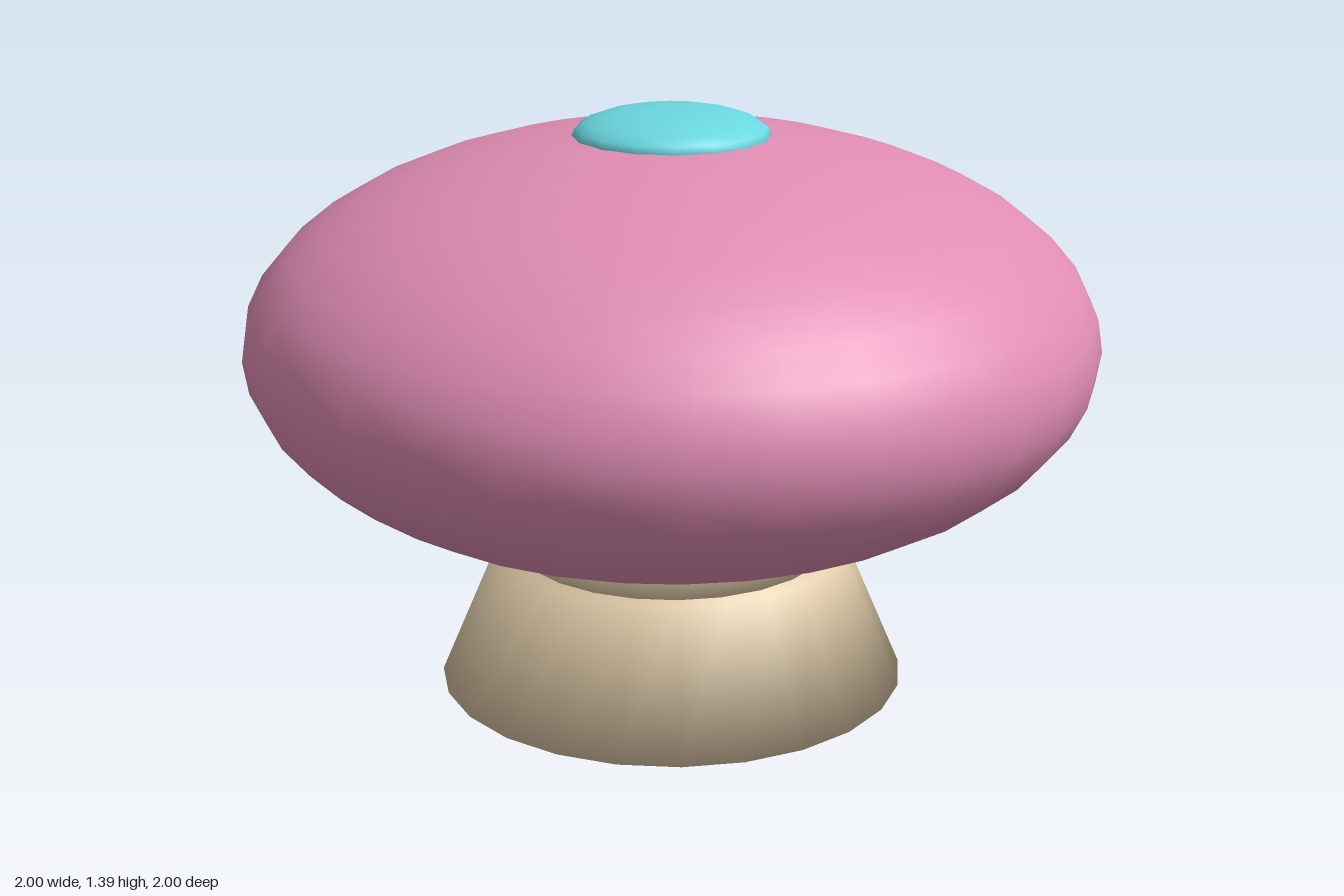
import * as THREE from 'three';
import { mergeVertices } from 'three/addons/utils/BufferGeometryUtils.js';

const material = (name, color) => {
  const m = new THREE.MeshStandardMaterial({ color });
  m.name = name;
  return m;
};

// Tapered round block whose normals are blended across the rims
function softFrustum(topRadius, bottomRadius, y0, y1) {
  const g = new THREE.CylinderGeometry(topRadius, bottomRadius, y1 - y0, 24);
  g.deleteAttribute('normal');
  g.deleteAttribute('uv');
  const merged = mergeVertices(g);
  merged.translate(0, (y0 + y1) / 2, 0);
  merged.computeVertexNormals();
  return merged;
}

// Squashed sphere centred at height y
function ellipsoid(radius, halfHeight, y, around, rings) {
  return new THREE.SphereGeometry(1, around, rings)
    .scale(radius, halfHeight, radius)
    .translate(0, y, 0);
}

export function createModel() {
  const model = new THREE.Group();
  const beige = material('beige', 0xe0cba8);
  const pink = material('pink', 0xe08db3);
  const cyan = material('cyan', 0x6ad7e0);

  const add = (name, geometry, mat) => {
    const mesh = new THREE.Mesh(geometry, mat);
    mesh.name = name;
    model.add(mesh);
  };

  // Flared foot and the short neck that widens into the body
  add('base', softFrustum(0.42, 0.56, 0, 0.33), beige);
  add('neck', softFrustum(0.4, 0.38, 0.32, 0.46), beige);

  // Wide flattened body with a small button dome on top
  add('body', ellipsoid(1, 0.49, 0.85, 32, 20), pink);
  add('topButton', ellipsoid(0.23, 0.065, 1.325, 16, 12), cyan);

  return model;
}
